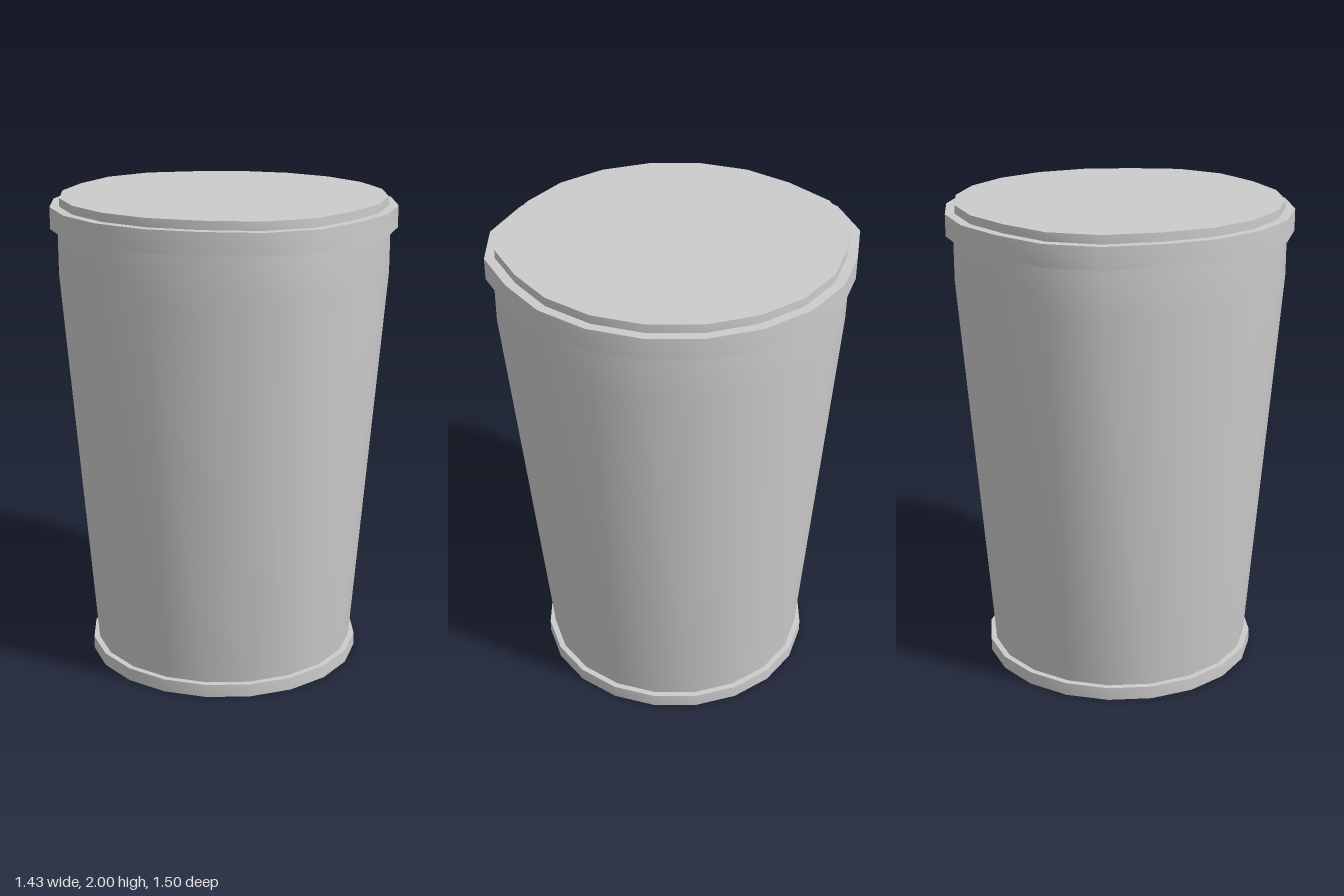
import * as THREE from 'three';
import { toCreasedNormals } from 'three/addons/utils/BufferGeometryUtils.js';

const SIDES = 20;
const material = new THREE.MeshStandardMaterial({ color: 0xcccccc });

// Turns a [radius, height] profile, then pulls out the slight seam ridge at front and back,
// which fades away towards the base.
function turned(name, profile) {
  const geometry = new THREE.LatheGeometry(profile.map(([r, y]) => new THREE.Vector2(r, y)), SIDES);
  const pos = geometry.attributes.position;
  for (let i = 0; i < pos.count; i++) {
    const x = pos.getX(i), y = pos.getY(i), z = pos.getZ(i);
    const r = Math.hypot(x, z);
    const onRidge = r > 0 && Math.abs(z) > 0.94 * r && x < 0.01;
    const fade = THREE.MathUtils.clamp((y - 0.055) / 1.63, 0, 1);
    if (onRidge) pos.setZ(i, z * (1 + 0.047 * fade));
  }
  const mesh = new THREE.Mesh(toCreasedNormals(geometry, 0.6), material);
  mesh.name = name;
  return mesh;
}

export function createModel() {
  const cup = new THREE.Group();
  cup.name = 'cup';
  cup.add(
    // Flat foot
    turned('foot', [[0, 0], [0.583, 0], [0.583, 0.055], [0, 0.055]]),
    // Tapered wall with a short straight collar
    turned('wall', [[0.558, 0.055], [0.687, 1.69], [0.687, 1.875]]),
    // Overhanging rim band
    turned('rim', [[0.6, 1.875], [0.717, 1.875], [0.717, 1.965], [0.6, 1.965]]),
    // Raised flat lid
    turned('lid', [[0.677, 1.965], [0.677, 2], [0, 2]])
  );
  return cup;
}
